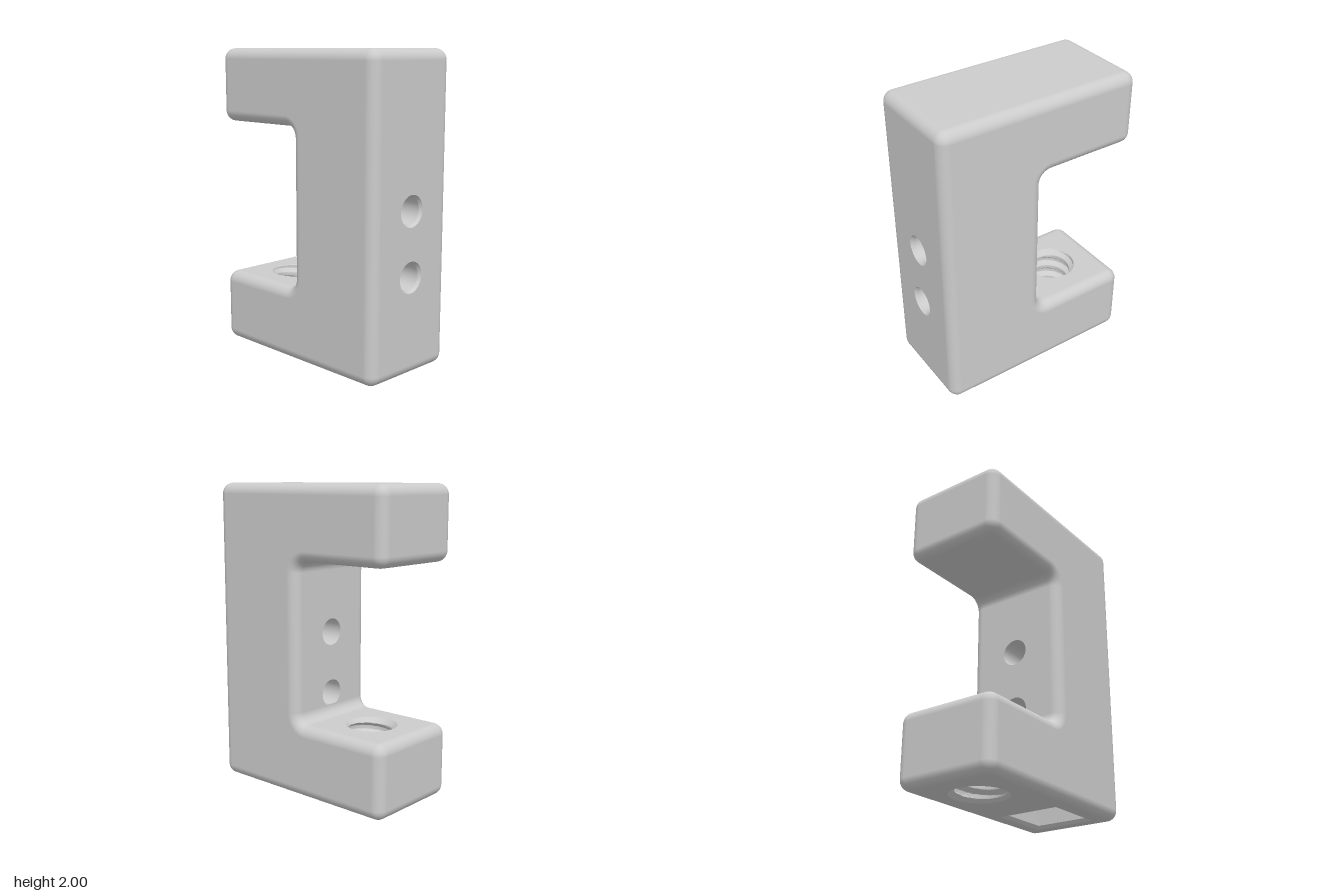
import * as THREE from 'three';
import { toCreasedNormals } from 'three/addons/utils/BufferGeometryUtils.js';

const R = 0.07;            // edge rounding
const ZF = 0.345 - R;      // half depth of the flat side walls
const V = (x, y) => new THREE.Vector2(x, y);

// C-shaped outline, counter-clockwise; corners 5 and 6 are concave
const CORNERS = [
  [-0.69, 0], [0.69, 0], [0.69, 2], [-0.69, 2],
  [-0.69, 1.52], [0, 1.52], [0, 0.48], [-0.69, 0.48],
].map(([x, y]) => V(x, y));
const BOLT_Y = [0.63, 1.04];
const SCREW_X = -0.345, POCKET_X = 0.345;

// openings cut in the wall that starts at each corner
const OPENINGS = {
  0: [{ at: V(SCREW_X, 0), r: 0.183 }, { at: V(POCKET_X, 0), half: 0.21 }],
  1: BOLT_Y.map(y => ({ at: V(0.69, y), r: 0.1 })),
  5: BOLT_Y.map(y => ({ at: V(0, y), r: 0.088 })),
  6: [{ at: V(SCREW_X, 0.48), r: 0.166 }],
};

const direction = i => CORNERS[(i + 1) % 8].clone().sub(CORNERS[i % 8]).normalize();

// outline samples: point, outward normal, and whether a flat wall follows
function outline(steps = 8) {
  const out = [];
  CORNERS.forEach((p, i) => {
    const d0 = direction(i + 7), d1 = direction(i);
    const side = d0.cross(d1) > 0 ? 1 : -1;
    const c = p.clone().addScaledVector(d0, -R).addScaledVector(d1, R);
    for (let k = 0; k <= steps; k++) {
      const a = (k / steps) * Math.PI / 2;
      const n = V(d0.y, -d0.x).multiplyScalar(Math.cos(a)).add(V(d1.y, -d1.x).multiplyScalar(Math.sin(a)));
      out.push({ p: c.clone().addScaledVector(n, side * R), n, flat: k === steps });
    }
  });
  return out;
}

// rounded rims and corner walls swept round the outline
function roundedEdges(samples, steps = 8) {
  const pos = [], nor = [], idx = [], rows = 2 * (steps + 1), m = samples.length;
  for (const { p, n } of samples) {
    for (let j = 0; j < rows; j++) {
      const t = (j <= steps ? j / steps - 1 : (j - steps - 1) / steps) * Math.PI / 2;
      const inset = R * (1 - Math.cos(t));
      pos.push(p.x - n.x * inset, p.y - n.y * inset, (j <= steps ? -ZF : ZF) + R * Math.sin(t));
      nor.push(n.x * Math.cos(t), n.y * Math.cos(t), Math.sin(t));
    }
  }
  for (let i = 0; i < m; i++) {
    for (let j = 0; j < rows - 1; j++) {
      if (samples[i].flat && j === steps) continue;
      const a = i * rows + j, b = ((i + 1) % m) * rows + j;
      idx.push(a, b, b + 1, a, b + 1, a + 1);
    }
  }
  const g = new THREE.BufferGeometry();
  g.setAttribute('position', new THREE.Float32BufferAttribute(pos, 3));
  g.setAttribute('normal', new THREE.Float32BufferAttribute(nor, 3));
  g.setIndex(idx);
  return g;
}

// flat wall along one outline edge, with its openings
function wall(i) {
  const d = direction(i);
  const start = CORNERS[i].clone().addScaledVector(d, R);
  const len = CORNERS[i].distanceTo(CORNERS[(i + 1) % 8]) - 2 * R;
  const shape = new THREE.Shape([V(0, -ZF), V(len, -ZF), V(len, ZF), V(0, ZF)]);
  for (const { at, r, half: h } of OPENINGS[i] || []) {
    const s = at.clone().sub(start).dot(d);
    shape.holes.push(r
      ? new THREE.Path().absarc(s, 0, r, 0, Math.PI * 2, true)
      : new THREE.Path([V(s - h, -h), V(s - h, h), V(s + h, h), V(s + h, -h)]));
  }
  const m = new THREE.Matrix4().makeBasis(
    new THREE.Vector3(d.x, d.y, 0), new THREE.Vector3(0, 0, 1), new THREE.Vector3(d.y, -d.x, 0));
  m.setPosition(start.x, start.y, 0);
  return new THREE.ShapeGeometry(shape, 24).applyMatrix4(m);
}

// threaded bore: cylinder with its radius following a helix, chamfered at both ends
function threadedBore(height = 0.48, pitch = 0.1) {
  const g = new THREE.CylinderGeometry(1, 1, height, 64, 96, true).translate(0, height / 2, 0);
  const p = g.attributes.position;
  for (let i = 0; i < p.count; i++) {
    const x = p.getX(i), y = p.getY(i), z = p.getZ(i);
    const f = y / pitch - Math.atan2(x, z) / (Math.PI * 2);
    const tri = Math.abs((f - Math.floor(f)) * 2 - 1);
    const thread = 0.132 + 0.03 * THREE.MathUtils.clamp(tri * 2 - 0.5, 0, 1);
    const r = Math.max(thread, 0.183 - y, 0.166 - (height - y));
    p.setXYZ(i, x * r, y, z * r);
  }
  return toCreasedNormals(g, 0.5);
}

export function createModel() {
  const group = new THREE.Group();
  const solid = new THREE.MeshStandardMaterial({ color: 0xcccccc });
  const inner = new THREE.MeshStandardMaterial({ color: 0xcccccc, side: THREE.DoubleSide });
  const add = (name, geometry, material = solid) => {
    const mesh = new THREE.Mesh(geometry, material);
    mesh.name = name;
    group.add(mesh);
    return mesh;
  };

  // body
  const samples = outline();
  add('roundedEdges', roundedEdges(samples));
  CORNERS.forEach((_, i) => add('bodyWall' + i, wall(i)));
  const face = new THREE.Shape(samples.map(({ p, n }) => p.clone().addScaledVector(n, -R)));
  add('frontFace', new THREE.ShapeGeometry(face).translate(0, 0, 0.345));
  add('backFace', new THREE.ShapeGeometry(face).rotateY(Math.PI).scale(-1, 1, 1).translate(0, 0, -0.345), inner);

  // two bolt holes through the spine, chamfered on the outside
  const bolt = new THREE.LatheGeometry([V(0.088, 0), V(0.088, 0.67), V(0.1, 0.69)], 48);
  for (const y of BOLT_Y) {
    const hole = add('boltHole', toCreasedNormals(bolt, 0.4), inner);
    hole.rotation.z = -Math.PI / 2;
    hole.position.y = y;
  }

  // threaded hole through the lower arm
  add('threadedHole', threadedBore(), inner).position.x = SCREW_X;

  // square pocket in the underside with a chamfered mouth
  const q = Math.SQRT2;
  const pocket = new THREE.LatheGeometry(
    [V(0.21 * q, 0), V(0.19 * q, 0.02), V(0.19 * q, 0.45), V(0, 0.45)], 4, Math.PI / 4);
  add('squarePocket', toCreasedNormals(pocket, 0.4), inner).position.x = POCKET_X;

  return group;
}
